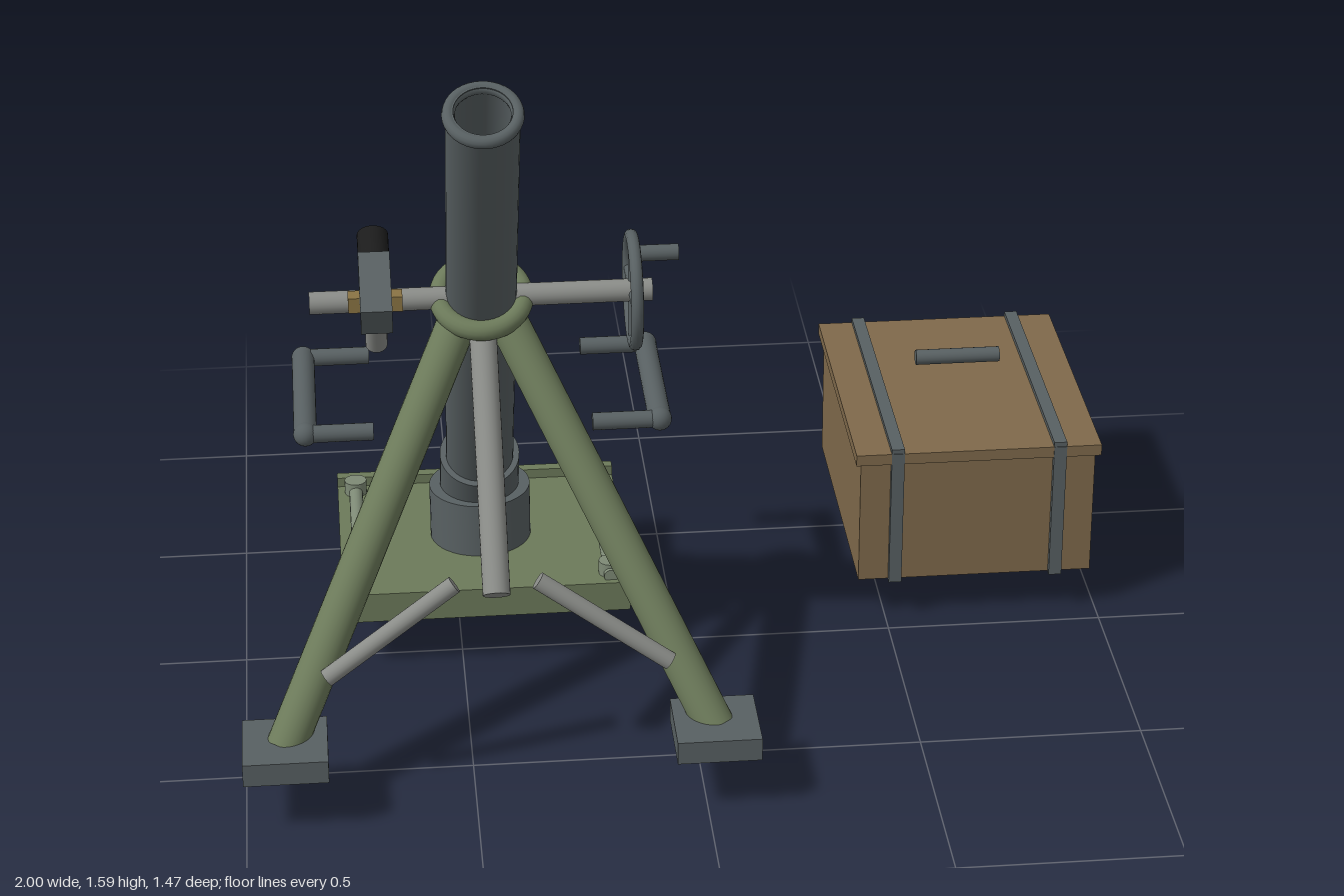
import * as THREE from 'three';

const material = (color) => new THREE.MeshStandardMaterial({ color });
const steel = material(0x586062);
const green = material(0x6c7a5a);
const paleGreen = material(0x7e8a76);
const grey = material(0x8a8c88);
const black = material(0x1c1c1c);
const brass = material(0x8a7444);
const wood = material(0x7f694b);

const TILT = 0.493; // barrel lean towards the front
const UP = new THREE.Vector3(0, 1, 0);

function add(parent, name, geometry, mat, x = 0, y = 0, z = 0) {
  const mesh = new THREE.Mesh(geometry, mat);
  mesh.name = name;
  mesh.position.set(x, y, z);
  parent.add(mesh);
  return mesh;
}

const box = (parent, name, mat, size, pos) =>
  add(parent, name, new THREE.BoxGeometry(...size), mat, ...pos);

// Round bar between two points
function rod(parent, name, mat, a, b, r, sides = 24) {
  const from = new THREE.Vector3(...a), to = new THREE.Vector3(...b);
  const dir = to.clone().sub(from);
  const mesh = add(parent, name, new THREE.CylinderGeometry(r, r, dir.length(), sides), mat);
  mesh.position.copy(from).add(to).multiplyScalar(0.5);
  mesh.quaternion.setFromUnitVectors(UP, dir.normalize());
  return mesh;
}

function group(parent, name, x = 0, y = 0, z = 0, tilt = 0) {
  const g = new THREE.Group();
  g.name = name;
  g.position.set(x, y, z);
  g.rotation.x = tilt;
  parent.add(g);
  return g;
}

// Hollow barrel, origin at the muzzle, with breech sleeve and support ring
function buildBarrel(parent) {
  const barrel = group(parent, 'barrel', 0, 1.553, 0.45, TILT);
  const profile = [[0, -1.2], [0.062, -1.2], [0.062, 0], [0.078, 0], [0.078, -1.48], [0, -1.48]];
  // Repeated corner points keep the edges crisp
  const points = profile.flatMap(([x, y]) => [new THREE.Vector2(x, y), new THREE.Vector2(x, y)]);
  const tube = add(barrel, 'tube', new THREE.LatheGeometry(points.reverse(), 40), steel);
  tube.material = steel.clone();
  tube.material.side = THREE.DoubleSide;
  const lip = add(barrel, 'muzzleRing', new THREE.TorusGeometry(0.072, 0.014, 12, 40), steel, 0, -0.012, 0);
  lip.rotation.x = Math.PI / 2;
  add(barrel, 'breechSleeve', new THREE.CylinderGeometry(0.092, 0.092, 0.18, 40), steel, 0, -1.36, 0);
  const collar = add(barrel, 'supportRing', new THREE.TorusGeometry(0.092, 0.023, 14, 40), green, 0, -0.65, 0);
  collar.rotation.x = Math.PI / 2;
}

// Base plate with rails, corner studs, socket and finned spike
function buildBase(parent) {
  const base = group(parent, 'basePlate');
  box(base, 'plate', green, [0.66, 0.072, 0.546], [0, 0.163, -0.203]);
  box(base, 'rearLip', green, [0.66, 0.094, 0.026], [0, 0.175, -0.463]);
  for (const s of [-1, 1]) {
    rod(base, 'sideRail', paleGreen, [s * 0.287, 0.208, -0.42], [s * 0.287, 0.208, 0.055], 0.016, 16);
    for (const z of [-0.42, 0.02])
      add(base, 'cornerStud', new THREE.CylinderGeometry(0.026, 0.026, 0.04, 20), paleGreen, s * 0.287, 0.212, z);
  }
  box(base, 'centreRib', paleGreen, [0.03, 0.024, 0.16], [0, 0.21, -0.37]);
  add(base, 'socket', new THREE.CylinderGeometry(0.117, 0.117, 0.14, 40), steel, 0, 0.26, -0.2);
  const spike = group(base, 'spike', 0, 0.057, -0.338, TILT);
  add(spike, 'spikeShaft', new THREE.CylinderGeometry(0.03, 0.03, 0.15, 20), steel, 0, 0.04, 0);
  for (let i = 0; i < 4; i++) {
    const fin = box(spike, 'fin', steel, [0.11, 0.07, 0.014], [0, 0, 0]);
    fin.rotation.y = (i * Math.PI) / 4;
  }
}

// Two legs with feet and braces, plus the central strut
function buildBipod(parent) {
  const bipod = group(parent, 'bipod');
  for (const s of [-1, 1]) {
    rod(bipod, 'leg', green, [s * 0.035, 0.97, 0.145], [s * 0.467, 0.155, 0.635], 0.044);
    box(bipod, 'foot', steel, [0.184, 0.053, 0.184], [s * 0.467, 0.154, 0.645]);
    rod(bipod, 'brace', grey, [s * 0.372, 0.305, 0.6], [s * 0.09, 0.495, 0.553], 0.02, 18);
  }
  rod(bipod, 'centreStrut', grey, [0, 0.95, 0.165], [0, 0.47, 0.565], 0.03);
}

// Cross bar, crank wheel and sight
function buildControls(parent) {
  const controls = group(parent, 'controls');
  rod(controls, 'crossBar', grey, [-0.375, 0.983, 0.147], [0.375, 0.983, 0.147], 0.025);
  const wheel = group(controls, 'handWheel', 0.333, 0.983, 0.147);
  const rim = add(wheel, 'wheelRim', new THREE.TorusGeometry(0.12, 0.014, 12, 40), steel);
  rim.rotation.y = Math.PI / 2;
  rod(wheel, 'spoke', steel, [0, -0.12, 0], [0, 0.12, 0], 0.011, 12);
  rod(wheel, 'spoke', steel, [0, 0, -0.12], [0, 0, 0.12], 0.011, 12);
  rod(wheel, 'crankHandle', steel, [-0.005, 0.088, 0], [0.1, 0.088, 0], 0.018, 18);

  box(controls, 'sightBracket', brass, [0.118, 0.035, 0.04], [-0.232, 1.0, 0.185]);
  const sight = group(controls, 'sight', -0.232, 1.058, 0.262, TILT);
  box(sight, 'sightBody', steel, [0.068, 0.08, 0.16], [0, 0, 0]);
  rod(sight, 'eyepiece', black, [0, 0, -0.07], [0, 0, -0.155], 0.034);
  rod(sight, 'sightPost', grey, [0, -0.02, -0.01], [0, -0.205, -0.01], 0.024);
}

// U-shaped carrying handles on both sides
function buildCarryHandles(parent) {
  for (const s of [-1, 1]) {
    const handle = group(parent, 'carryHandle');
    rod(handle, 'grip', steel, [s * 0.397, 0.63, -0.29], [s * 0.397, 0.63, 0.088], 0.026);
    for (const z of [-0.29, 0.088]) {
      rod(handle, 'handleArm', steel, [s * 0.397, 0.63, z], [s * 0.245, 0.63, z], 0.02, 18);
      add(handle, 'handleCorner', new THREE.SphereGeometry(0.027, 20, 14), steel, s * 0.397, 0.63, z);
    }
  }
}

// Wooden crate with lid, straps and a lifting bar
function buildCrate(parent) {
  const crate = group(parent, 'crate', 0.71, 0, -0.393);
  box(crate, 'crateBody', wood, [0.55, 0.31, 0.665], [0, 0.255, 0]);
  box(crate, 'crateLid', wood, [0.574, 0.027, 0.69], [0, 0.423, 0]);
  for (const x of [-0.19, 0.19]) {
    box(crate, 'topStrap', steel, [0.03, 0.014, 0.69], [x, 0.441, 0]);
    box(crate, 'frontStrap', steel, [0.03, 0.34, 0.016], [x, 0.267, 0.339]);
  }
  rod(crate, 'liftingBar', steel, [-0.1, 0.509, 0], [0.1, 0.509, 0], 0.018, 18);
}

export function createModel() {
  const model = new THREE.Group();
  model.name = 'mortarAndCrate';
  const mortar = group(model, 'mortar', -0.443);
  buildBarrel(mortar);
  buildBase(mortar);
  buildBipod(mortar);
  buildControls(mortar);
  buildCarryHandles(mortar);
  buildCrate(model);
  return model;
}
